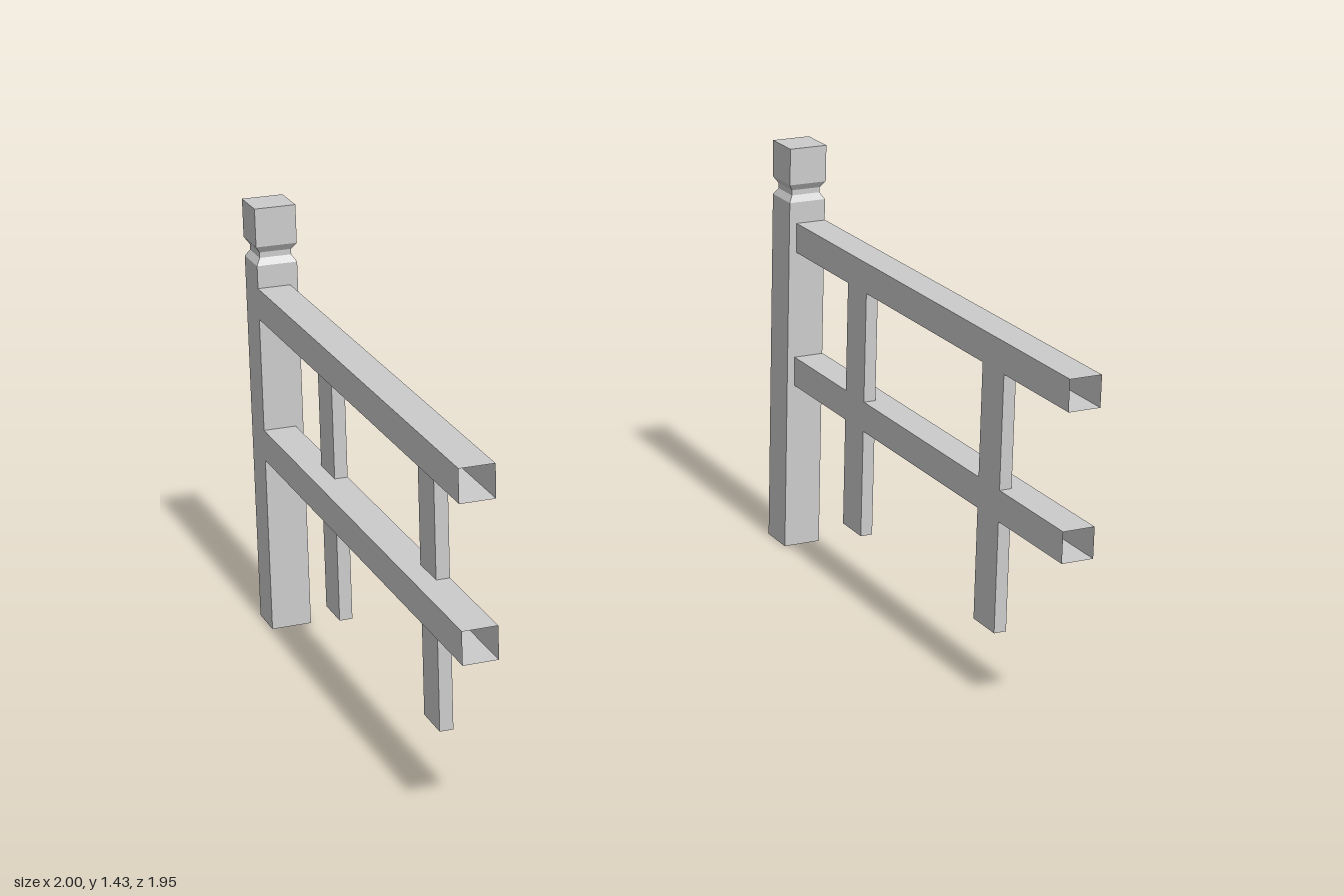
import * as THREE from 'three';

const material = new THREE.MeshStandardMaterial({
  color: 0xcccccc, flatShading: true, side: THREE.DoubleSide,
});

// Square tube without end faces, one unit long on y
function openTube() {
  return new THREE.CylinderGeometry(Math.SQRT1_2, Math.SQRT1_2, 1, 4, 1, true).rotateY(Math.PI / 4);
}

function addMesh(group, name, geometry, x, y, z) {
  const mesh = new THREE.Mesh(geometry, material);
  mesh.name = name;
  mesh.position.set(x, y, z);
  group.add(mesh);
}

// Square post with a pinched neck below a block cap; open underneath
function postGeometry() {
  const profile = [
    [0.066, 0], [0.066, 1.24], [0.052, 1.262], [0.052, 1.28],
    [0.067, 1.302], [0.067, 1.427], [0, 1.427],
  ].map(([half, y]) => new THREE.Vector2(half * Math.SQRT2, y));
  return new THREE.LatheGeometry(profile, 4, Math.PI / 4);
}

// One railing on the +x side (side = 1) or the -x side (side = -1)
function createRailing(side) {
  const railing = new THREE.Group();
  railing.name = side > 0 ? 'leftRailing' : 'rightRailing';

  addMesh(railing, 'post', postGeometry(), side * 0.933, 0, -0.908);

  // Hollow rails, flush with the outside of the post
  const railLength = 1.815;
  for (const [name, y] of [['topRail', 1.116], ['lowerRail', 0.641]]) {
    const rail = openTube().rotateX(Math.PI / 2).scale(0.107, 0.102, railLength);
    addMesh(railing, name, rail, side * 0.9465, y, 0.975 - railLength / 2);
  }

  // Thin uprights, flush with the inside of the rails
  for (const z of [0.525, -0.385]) {
    const upright = openTube().scale(0.042, 0.846, 0.132);
    addMesh(railing, 'upright', upright, side * 0.914, 0.642, z);
  }
  return railing;
}

export function createModel() {
  const model = new THREE.Group();
  model.name = 'stairRailings';
  for (const side of [-1, 1]) model.add(createRailing(side));
  return model;
}
